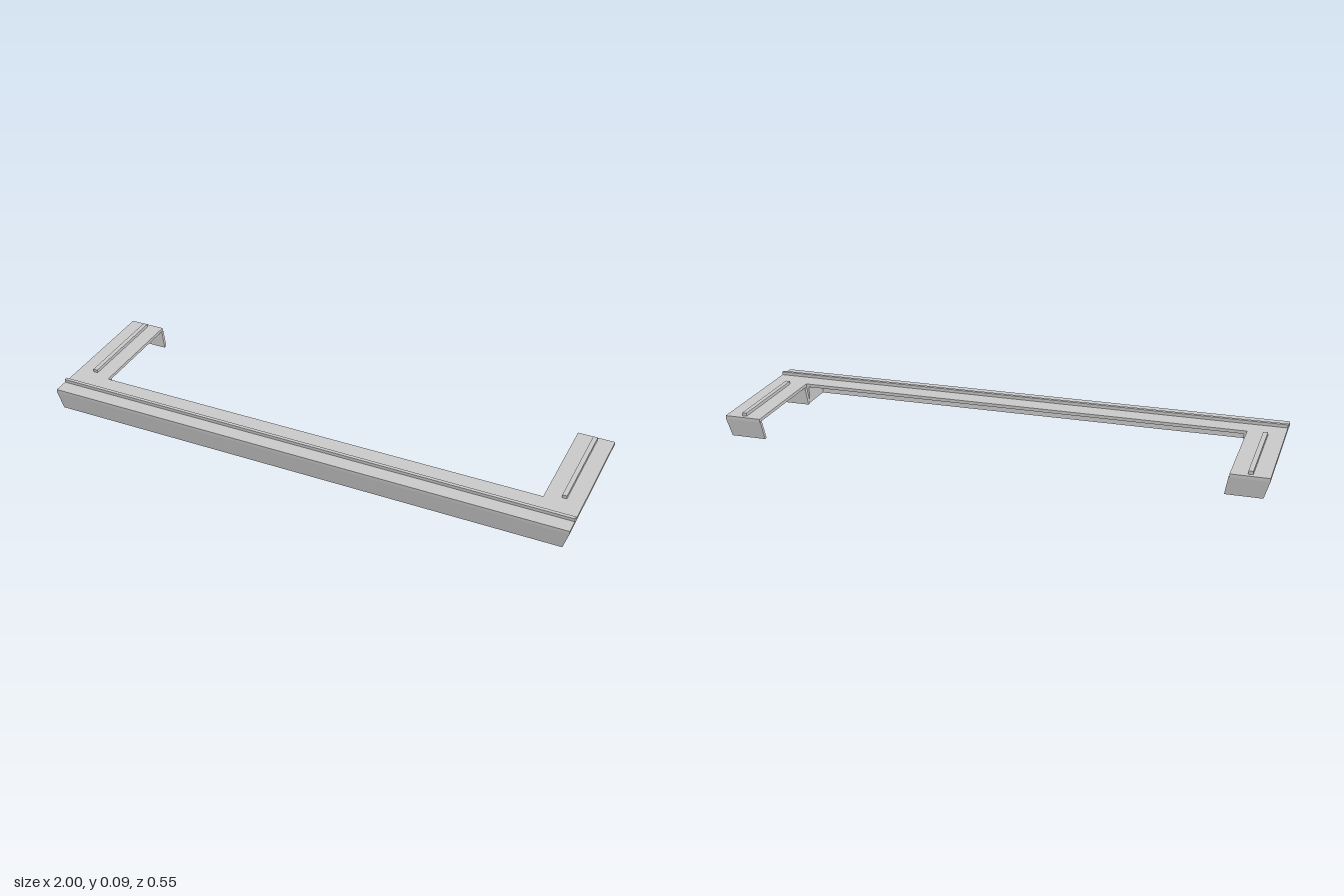
import * as THREE from 'three';

const TOP = 0.078, UNDER = 0.066;   // deck top and underside heights
const WALL = 0.012;

const material = new THREE.MeshStandardMaterial({ color: 0xcccccc, flatShading: true });

export function createModel() {
  const group = new THREE.Group();
  const add = (name, geometry) => {
    const mesh = new THREE.Mesh(geometry, material);
    mesh.name = name;
    group.add(mesh);
    return mesh;
  };

  // Block whose top and bottom rectangles differ: [x0, x1, z0, z1]
  const block = (name, y0, y1, top, bottom = top) => {
    const geometry = new THREE.BoxGeometry(1, 1, 1);
    const p = geometry.attributes.position;
    for (let i = 0; i < p.count; i++) {
      const up = p.getY(i) > 0;
      const r = up ? top : bottom;
      p.setXYZ(i, p.getX(i) < 0 ? r[0] : r[1], up ? y1 : y0, p.getZ(i) < 0 ? r[2] : r[3]);
    }
    geometry.computeVertexNormals();
    return add(name, geometry);
  };

  // The same block on both sides, ranges given for +x
  const pair = (name, y0, y1, top, bottom = top) => {
    const flip = (r) => [-r[1], -r[0], r[2], r[3]];
    block('left' + name, y0, y1, top, bottom);
    block('right' + name, y0, y1, flip(top), flip(bottom));
  };

  // U-shaped deck
  const outline = [[-1, 0.276], [1, 0.276], [1, -0.276], [0.863, -0.276],
    [0.863, 0.133], [-0.863, 0.133], [-0.863, -0.276], [-1, -0.276]];
  const shape = new THREE.Shape(outline.map(([x, z]) => new THREE.Vector2(x, -z)));
  const deck = new THREE.ExtrudeGeometry(shape, { depth: TOP - UNDER, bevelEnabled: false });
  deck.rotateX(-Math.PI / 2);
  deck.translate(0, UNDER, 0);
  add('deck', deck);

  // Outer skirt walls, leaning inward towards the bottom
  block('frontWall', 0, UNDER, [-1, 1, 0.276 - WALL, 0.276], [-0.98, 0.98, 0.271 - WALL, 0.271]);
  pair('SideWall', 0, UNDER, [1 - WALL, 1, -0.276, 0.276], [0.98 - WALL, 0.98, -0.27, 0.271]);

  // Arm end caps, and the partitions closing off the hollow corners
  pair('ArmEndCap', 0, UNDER, [0.86, 1, -0.276, -0.276 + WALL], [0.848, 0.98, -0.27, -0.27 + WALL]);
  pair('ArmPartition', 0, UNDER, [0.86, 0.99, 0.113, 0.128], [0.848, 0.97, 0.113, 0.128]);
  pair('BarPartition', 0, UNDER, [0.852, 0.866, 0.133, 0.27], [0.852, 0.866, 0.133, 0.265]);

  // Raised ribs on the deck
  block('frontRib', TOP, 0.09, [-1, 1, 0.207, 0.22]);
  pair('ArmRib', TOP, 0.09, [0.923, 0.94, -0.26, 0.113]);

  return group;
}
